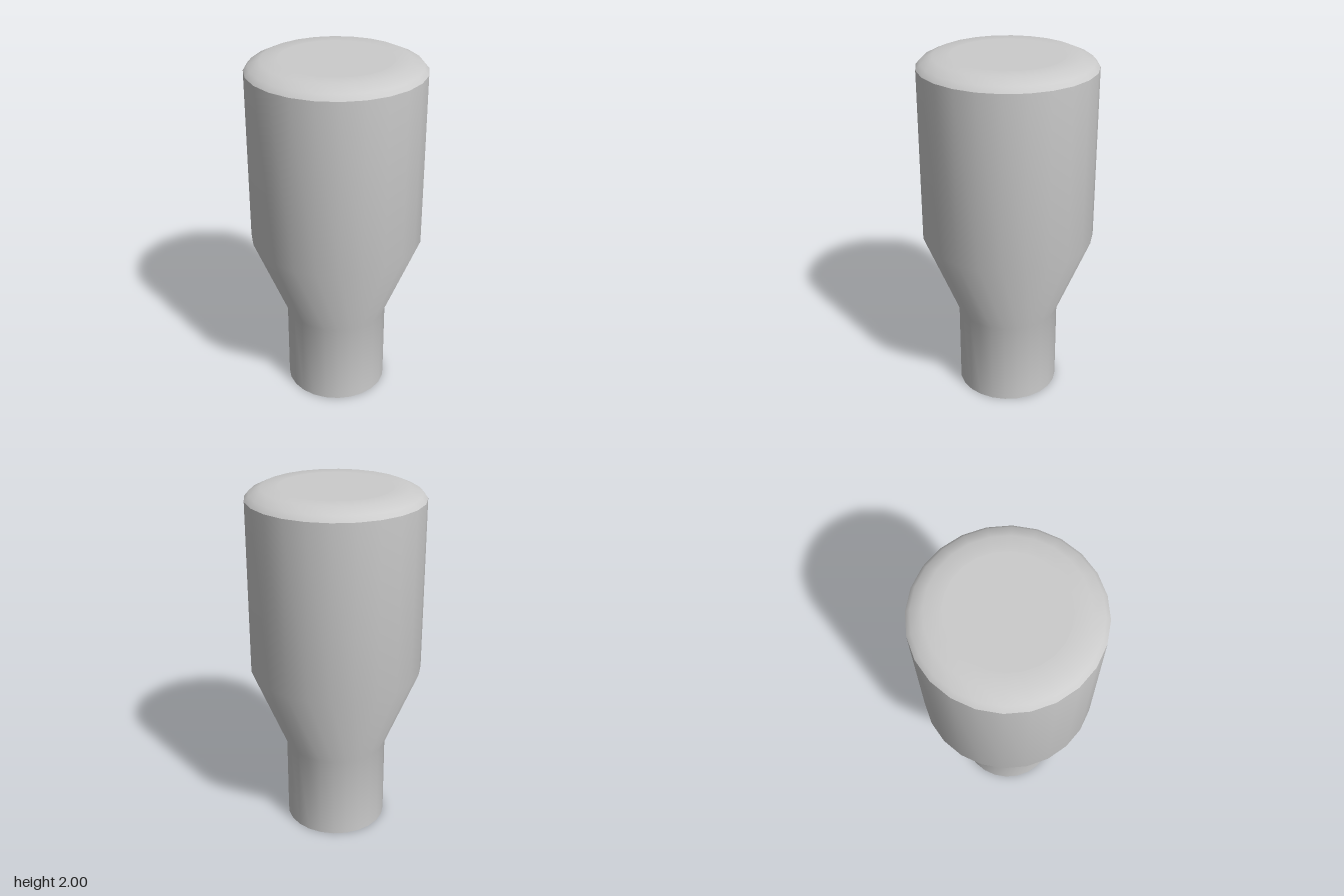
import * as THREE from 'three';

const SIDES = 24;
const material = new THREE.MeshStandardMaterial({ color: 0xcccccc });

// Smooth surface of revolution from [radius, height] pairs, bottom to top
function turned(name, profile) {
  const points = profile.map(([r, y]) => new THREE.Vector2(r, y));
  const mesh = new THREE.Mesh(new THREE.LatheGeometry(points, SIDES), material);
  mesh.name = name;
  return mesh;
}

// Flat disc facing up (1) or down (-1)
function disc(name, radius, y, facing) {
  const mesh = new THREE.Mesh(new THREE.CircleGeometry(radius, SIDES), material);
  mesh.rotation.x = -facing * Math.PI / 2;
  mesh.position.y = y;
  mesh.name = name;
  return mesh;
}

export function createModel() {
  const group = new THREE.Group();
  group.name = 'taperedHandle';

  // Narrow neck, flared shoulder and straight barrel
  group.add(turned('body', [[0.29, 0], [0.29, 0.49], [0.484, 0.97], [0.484, 1.94]]));
  // Rounded rim, levelling off towards the end face
  group.add(turned('rim', [[0.484, 1.94], [0.46, 1.968], [0.396, 1.997], [0.31, 2]]));
  // End faces
  group.add(disc('topFace', 0.31, 2, 1));
  group.add(disc('bottomFace', 0.29, 0, -1));

  return group;
}
